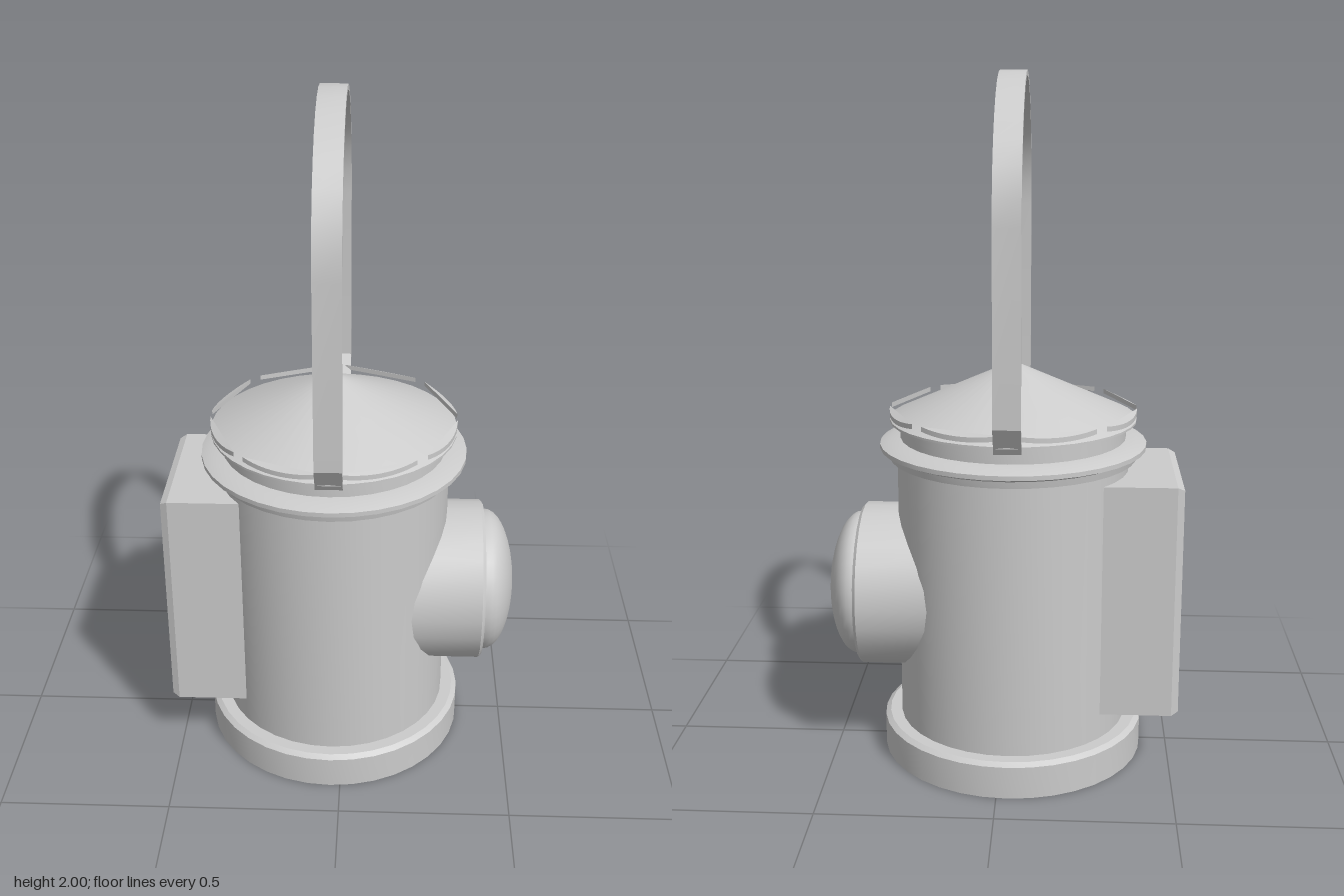
import * as THREE from 'three';
import { toCreasedNormals } from 'three/addons/utils/BufferGeometryUtils.js';

const AXIS_X = -0.03; // centre line of the round body
const SIDES = 36;

export function createModel() {
  const group = new THREE.Group();
  const material = new THREE.MeshStandardMaterial({ color: 0xcccccc });

  const add = (name, geometry, x = 0, y = 0, crease = 0.5) => {
    const mesh = new THREE.Mesh(toCreasedNormals(geometry, crease), material);
    mesh.name = name;
    mesh.position.set(x, y, 0);
    group.add(mesh);
    return mesh;
  };
  const lathe = (points, sides = SIDES) =>
    new THREE.LatheGeometry(points.map(([r, y]) => new THREE.Vector2(r, y)), sides);

  // Base, body and collar
  add('base', lathe([[0, 0], [0.39, 0], [0.39, 0.095], [0.375, 0.105], [0.33, 0.105]]), AXIS_X);
  add('body', lathe([[0.34, 0.09], [0.34, 0.92]]), AXIS_X);
  add('collar', lathe([
    [0.33, 0.905], [0.362, 0.905], [0.366, 0.925], [0.39, 0.935],
    [0.39, 0.948], [0.36, 0.96], [0.32, 0.965],
  ]), AXIS_X);
  add('neck', lathe([[0.33, 0.95], [0.33, 1.03]]), AXIS_X);

  // Roof: a thin cone with eight raised flat panels, leaving slots between them
  add('roofCone', lathe([[0.31, 1.025], [0.36, 1.014], [0.36, 1.02], [0, 1.185]]), AXIS_X);
  const roof = new THREE.Group();
  roof.name = 'roofPanels';
  roof.position.x = AXIS_X;
  const half = Math.PI / 8, gap = 0.02, rim = 0.36;
  const corner = half - Math.asin(gap / rim);
  const outline = new THREE.Shape();
  outline.moveTo(gap / Math.sin(half), 0);
  outline.absarc(0, 0, rim, -corner, corner, false);
  outline.closePath();
  for (let i = 0; i < 8; i++) {
    const panel = new THREE.ExtrudeGeometry(outline, { depth: 0.014, bevelEnabled: false, curveSegments: 6 });
    panel.rotateX(-Math.PI / 2);
    const pos = panel.attributes.position;
    for (let v = 0; v < pos.count; v++) pos.setY(v, pos.getY(v) + 1.186 - 0.44 * pos.getX(v));
    panel.rotateY(half + i * Math.PI / 4);
    const mesh = new THREE.Mesh(toCreasedNormals(panel, 0.5), material);
    mesh.name = 'roofPanel';
    roof.add(mesh);
  }
  group.add(roof);

  // Carrying handle: a flat strap bent into an arch
  const arch = (offset) => {
    const r = 0.395 - offset, points = [[0.345 - offset, 0.995 + offset * 0.5], [r, 1.075 + offset * 0.3]];
    for (let i = 0; i <= 16; i++) {
      const a = (i / 16) * Math.PI;
      points.push([r * Math.cos(a), 1.605 + r * Math.sin(a)]);
    }
    points.push([-points[1][0], points[1][1]], [-points[0][0], points[0][1]]);
    return points.map(([z, y]) => new THREE.Vector2(z, y));
  };
  const strap = new THREE.ExtrudeGeometry(
    new THREE.Shape([...arch(0), ...arch(0.015).reverse()]),
    { depth: 0.076, bevelEnabled: false },
  );
  strap.translate(0, 0, -0.038).rotateY(Math.PI / 2);
  add('handle', strap, AXIS_X);

  // Side box with a small chamfer on its outer face
  const w = 0.215, h = 0.345, b = 0.01;
  const rect = new THREE.Shape([
    new THREE.Vector2(-w + b, -h + b), new THREE.Vector2(w - b, -h + b),
    new THREE.Vector2(w - b, h - b), new THREE.Vector2(-w + b, h - b),
  ]);
  const box = new THREE.ExtrudeGeometry(rect, {
    depth: 0.26, bevelEnabled: true, bevelSize: b, bevelThickness: 0.02, bevelSegments: 1,
  });
  box.rotateY(-Math.PI / 2);
  add('sideBox', box, -0.24, 0.525, 0.2);

  // Lens barrel and domed lens
  const barrel = lathe([[0.243, 0.15], [0.243, 0.413], [0.234, 0.422], [0, 0.422]], 24);
  add('lensBarrel', barrel.rotateZ(-Math.PI / 2), 0, 0.497);
  const dome = [[0.215, 0.415]];
  for (let i = 0; i <= 10; i++) {
    const a = (i / 10) * Math.PI / 2;
    dome.push([i === 10 ? 0 : 0.215 * Math.cos(a), 0.43 + 0.087 * Math.sin(a)]);
  }
  add('lens', lathe(dome, 32).rotateZ(-Math.PI / 2), 0, 0.497, 0.7);

  return group;
}
